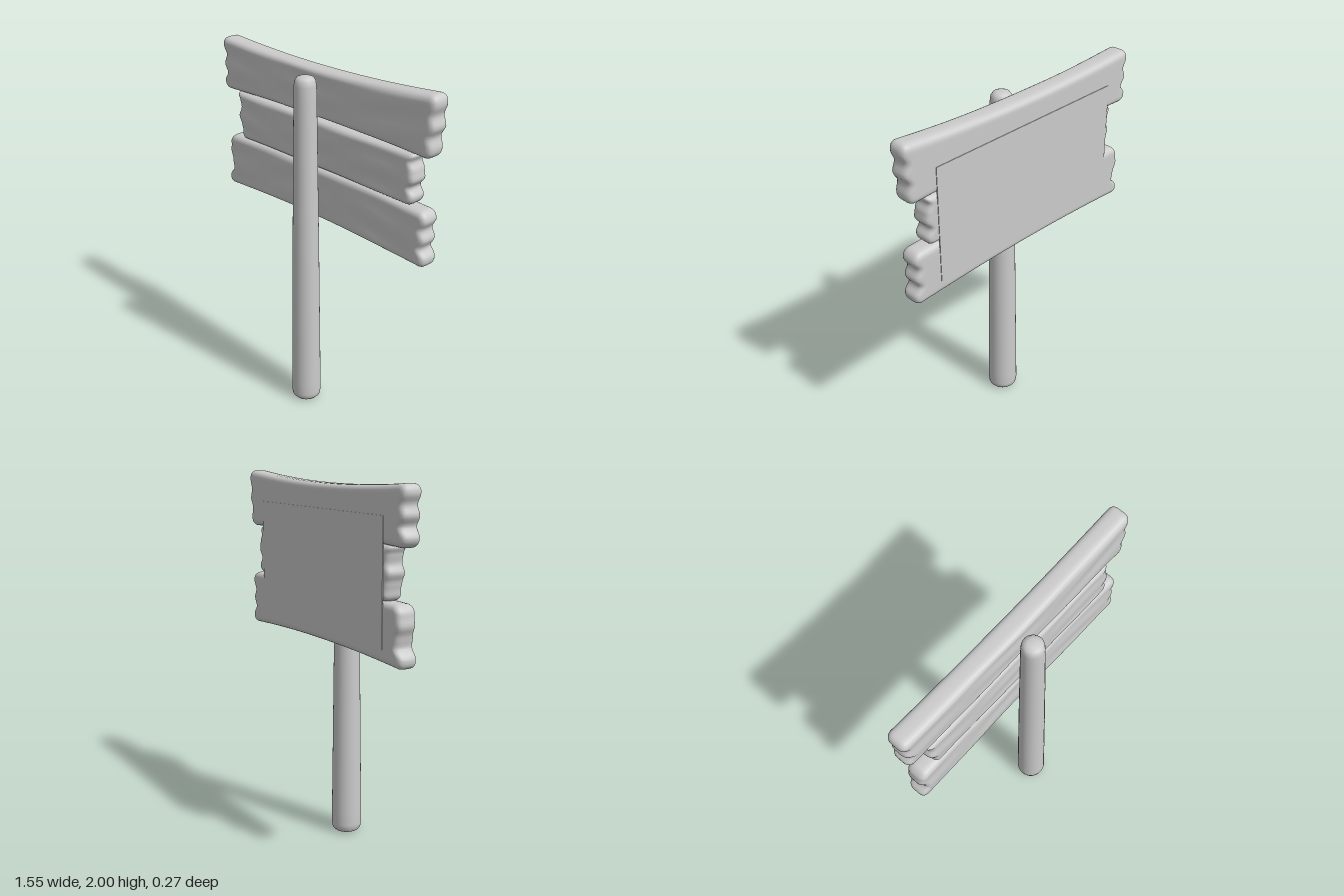
import * as THREE from 'three';
import { mergeVertices } from 'three/addons/utils/BufferGeometryUtils.js';

const material = new THREE.MeshStandardMaterial({ color: 0xcccccc });

// Smooth interpolation through evenly spaced values, t from 0 to 1
function along(values, t) {
  const f = Math.min(Math.max(t, 0), 1) * (values.length - 1);
  const i = Math.min(Math.floor(f), values.length - 2);
  return THREE.MathUtils.lerp(values[i], values[i + 1], THREE.MathUtils.smoothstep(f - i, 0, 1));
}

// Parabola through the left, middle and right heights, u from -1 to 1
function bow([l, m, r], u) {
  return m + (r - l) / 2 * u + ((l + r) / 2 - m) * u * u;
}

// A soft-edged board: left/right are end outlines from bottom to top,
// top/bottom are edge heights at the left, middle and right
function plank(name, { left, right, top, bottom, seed }) {
  const W = 0.75, H = 0.145, D = 0.0575, R = 0.036, zMid = -0.0765;
  let geo = new THREE.BoxGeometry(2, 2, 2, 64, 32, 10);
  geo.deleteAttribute('uv');
  geo.deleteAttribute('normal');
  geo = mergeVertices(geo);
  const pos = geo.attributes.position;
  const half = new THREE.Vector3(W, H, D);
  const core = half.clone().subScalar(R);
  const p = new THREE.Vector3(), c = new THREE.Vector3();
  for (let i = 0; i < pos.count; i++) {
    // crowd the vertices towards the edges, then round those edges
    p.fromBufferAttribute(pos, i);
    p.set(...p.toArray().map(v => Math.sin(v * Math.PI / 2))).multiply(half);
    c.copy(p).clamp(core.clone().negate(), core);
    p.sub(c);
    if (p.lengthSq() > 0) p.setLength(R);
    p.add(c);
    // bend to the outline and add faint wood grain
    const u = p.x / W, v = p.y / H;
    const x = THREE.MathUtils.lerp(along(left, (v + 1) / 2), along(right, (v + 1) / 2), (u + 1) / 2);
    const y = THREE.MathUtils.lerp(bow(bottom, u), bow(top, u), (v + 1) / 2);
    const grain = Math.sin(v * 6 + Math.sin(u * 3 + seed) * 1.5 + seed) * Math.sin(u * 4 + seed * 2);
    const z = zMid + p.z + (p.z > 0 ? 0.003 * grain * (p.z / D) : 0);
    pos.setXYZ(i, x, y, z);
  }
  geo.computeVertexNormals();
  const mesh = new THREE.Mesh(geo, material);
  mesh.name = name;
  return mesh;
}

export function createModel() {
  const model = new THREE.Group();
  model.name = 'signpost';

  // Tapered round post with softened ends
  const profile = [
    [0, 0], [0.045, 0.001], [0.066, 0.008], [0.079, 0.022], [0.084, 0.05], [0.083, 0.12],
    [0.072, 1], [0.06, 1.8], [0.058, 1.89], [0.054, 1.917], [0.043, 1.933], [0.025, 1.94], [0, 1.941],
  ].map(([x, y]) => new THREE.Vector2(x, y));
  const post = new THREE.Mesh(new THREE.LatheGeometry(profile, 32), material);
  post.name = 'post';
  post.position.set(-0.01, 0, 0.053);
  model.add(post);

  // Three boards with ragged ends
  model.add(
    plank('topPlank', {
      left: [-0.765, -0.775, -0.745, -0.77, -0.755, -0.775, -0.77],
      right: [0.75, 0.757, 0.745, 0.77, 0.755, 0.772, 0.768],
      top: [1.985, 1.958, 2.002], bottom: [1.685, 1.7, 1.68], seed: 1,
    }),
    plank('middlePlank', {
      left: [-0.628, -0.63, -0.637, -0.655, -0.638, -0.645, -0.668],
      right: [0.65, 0.658, 0.635, 0.662, 0.655, 0.637, 0.66],
      top: [1.695, 1.685, 1.685], bottom: [1.42, 1.422, 1.415], seed: 2.6,
    }),
    plank('bottomPlank', {
      left: [-0.762, -0.762, -0.722, -0.73, -0.75, -0.742, -0.728],
      right: [0.75, 0.752, 0.722, 0.745, 0.725, 0.748, 0.738],
      top: [1.42, 1.424, 1.408], bottom: [1.108, 1.132, 1.106], seed: 4.3,
    }),
  );

  // Flat sheet across the back of the boards
  const panel = new THREE.Mesh(new THREE.BoxGeometry(1.21, 0.64, 0.006), material);
  panel.name = 'backPanel';
  panel.position.set(-0.012, 1.51, -0.134);
  model.add(panel);

  return model;
}
